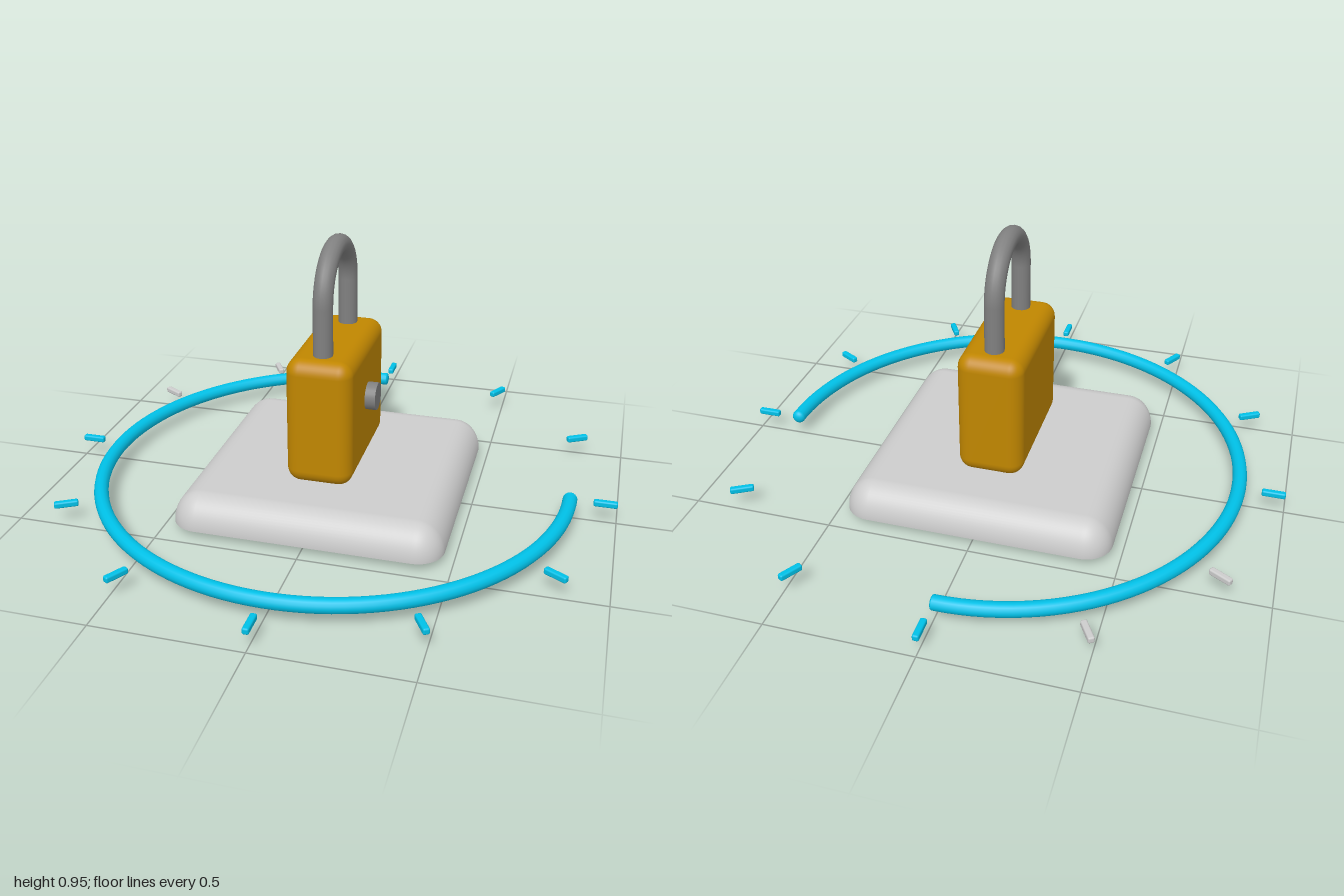
import * as THREE from 'three';
import { RoundedBoxGeometry } from 'three/addons/geometries/RoundedBoxGeometry.js';

function material(name, color) {
  const m = new THREE.MeshStandardMaterial({ color });
  m.name = name;
  return m;
}

// Square slab with a domed edge on top and its lower half pressed flat at y = 0
function domedSlab(width, radius, height) {
  const geo = new RoundedBoxGeometry(width, radius * 2, width, 6, radius);
  geo.scale(1, height / radius, 1);
  const p = geo.attributes.position;
  for (let i = 0; i < p.count; i++) p.setY(i, Math.max(p.getY(i), 0));
  return geo;
}

export function createModel() {
  const model = new THREE.Group();
  model.name = 'padlockOnPad';
  const gold = material('gold', 0xc08600);
  const steel = material('steel grey', 0x808080);
  const pale = material('pale grey', 0xcccccc);
  const cyan = material('cyan', 0x00c8f0);

  const add = (name, geo, mat, x = 0, y = 0, z = 0, parent = model) => {
    const mesh = new THREE.Mesh(geo, mat);
    mesh.name = name;
    mesh.position.set(x, y, z);
    parent.add(mesh);
    return mesh;
  };

  // Pad: domed top over a smaller tapered underside
  const seam = 0.026;
  add('padTop', domedSlab(0.935, 0.095, 0.11), pale, 0, seam, 0);
  add('padUnderside', domedSlab(0.865, 0.06, seam), pale, 0, seam, 0).rotation.x = Math.PI;

  // Lock body and its round keyhole boss on the left side
  add('lockBody', new RoundedBoxGeometry(0.23, 0.452, 0.506, 5, 0.05), gold, 0, 0.362, 0);
  const boss = new THREE.CylinderGeometry(0.049, 0.049, 0.06, 24).rotateZ(-Math.PI / 2);
  add('keyhole', boss, steel, 0.122, 0.382, 0);

  // Shackle: half ring on two straight legs
  const shackle = new THREE.Group();
  shackle.name = 'shackle';
  model.add(shackle);
  const span = 0.165, bar = 0.034, bendY = 0.754;
  const bend = new THREE.TorusGeometry(span, bar, 16, 32, Math.PI).rotateY(Math.PI / 2);
  add('shackleBend', bend, steel, 0, bendY, 0, shackle);
  for (const side of [-1, 1]) {
    const leg = new THREE.CylinderGeometry(bar, bar, 0.204, 16);
    add('shackleLeg', leg, steel, 0, bendY - 0.102, side * span, shackle);
  }

  // Three-quarter progress ring with a rounded start and a nearly flat end
  const ringY = 0.072, ringR = 0.838, tube = 0.025;
  const arc = new THREE.TorusGeometry(ringR, tube, 14, 96, Math.PI * 1.5).rotateX(Math.PI / 2);
  add('progressRing', arc, cyan, 0, ringY, 0);
  const cap = new THREE.SphereGeometry(tube, 16, 12);
  add('ringStart', cap.clone().scale(1, 1, 0.75), cyan, ringR, ringY, 0);
  add('ringEnd', cap.clone().scale(0.35, 1, 1), cyan, 0, ringY, -ringR);

  // Twelve tick marks around the ring, two of them unlit
  const ticks = new THREE.Group();
  ticks.name = 'ticks';
  model.add(ticks);
  const tickGeo = new RoundedBoxGeometry(0.082, 0.022, 0.022, 2, 0.006);
  for (let i = 0; i < 12; i++) {
    const a = (i * Math.PI) / 6;
    const mat = i === 7 || i === 8 ? pale : cyan;
    const tick = add('tick', tickGeo, mat, Math.cos(a) * 0.959, ringY, Math.sin(a) * 0.959, ticks);
    tick.rotation.y = -a;
  }
  return model;
}
